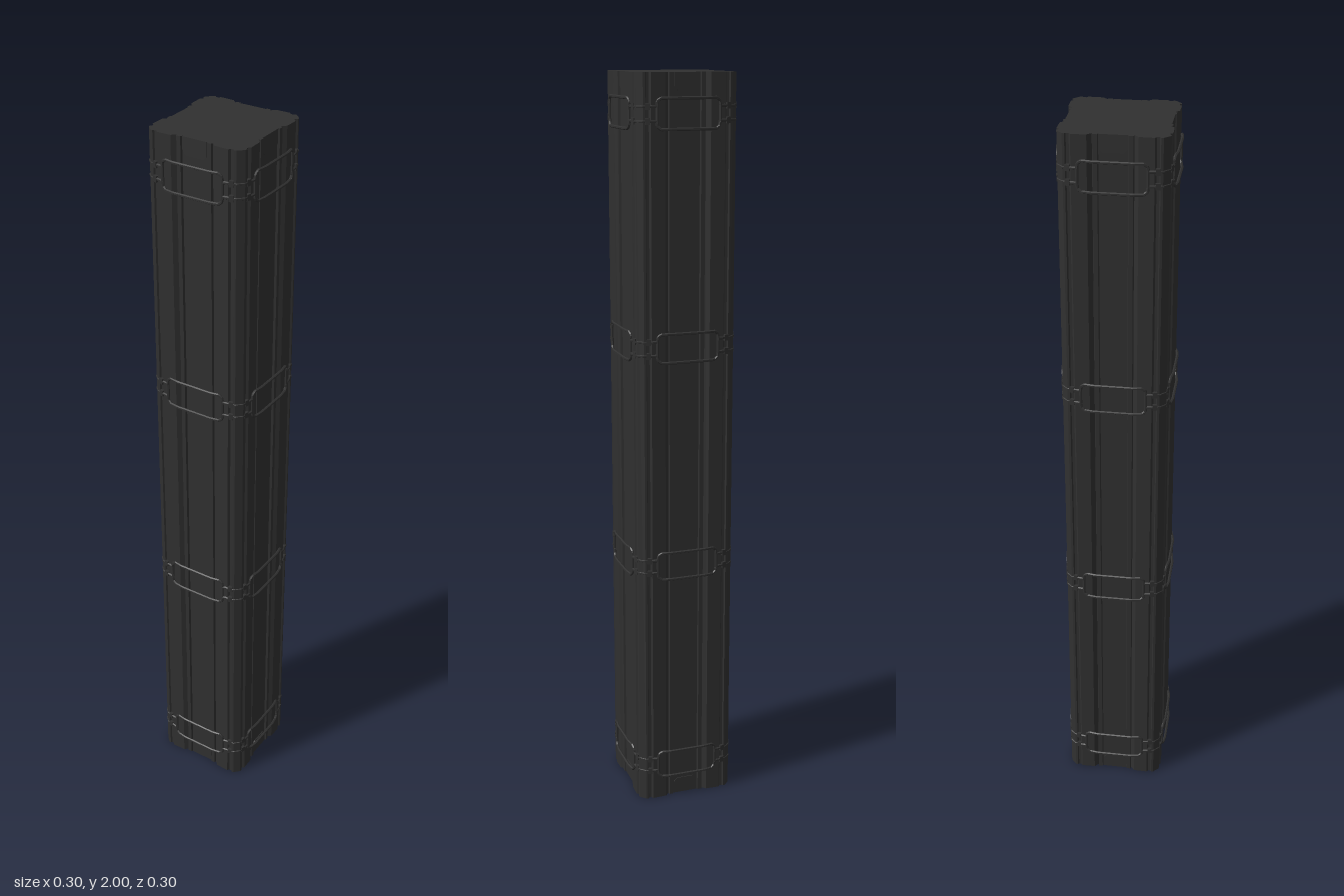
import * as THREE from 'three';

const mat = new THREE.MeshStandardMaterial({ color: 0x303030, flatShading: true });

function add(parent, geometry, name) {
  const mesh = new THREE.Mesh(geometry, mat);
  mesh.name = name;
  parent.add(mesh);
  return mesh;
}

// Repeats a half-face profile (across, out, extra) around all four sides
function fourSides(half) {
  const side = [...half.slice(1).reverse().map(([a, ...rest]) => [-a, ...rest]), ...half];
  const out = [];
  for (let i = 0; i < 4; i++) {
    const t = i * Math.PI / 2, c = Math.cos(t), s = Math.sin(t);
    for (const [a, o, ...rest] of side) out.push([a * c + o * s, -a * s + o * c, ...rest]);
  }
  return out;
}

// Ribbed pillar: recessed face, slim rib, raised corner post with a groove
function pillarGeometry() {
  const half = [
    [0, 0.125], [0.035, 0.125], [0.037, 0.131], [0.048, 0.131], [0.05, 0.125],
    [0.061, 0.136], [0.099, 0.137], [0.103, 0.131], [0.110, 0.131], [0.113, 0.135], [0.119, 0.134],
  ];
  const shape = new THREE.Shape(fourSides(half).map(([x, z]) => new THREE.Vector2(x, z)));
  const g = new THREE.ExtrudeGeometry(shape, { depth: 2, bevelEnabled: false });
  return g.rotateX(-Math.PI / 2);
}

// Closed rod with straight runs between its points (zero curve tension)
function rodGeometry(points, radius) {
  const path = new THREE.CatmullRomCurve3(points, true, 'catmullrom', 0);
  path.arcLengthDivisions = 1000;
  return new THREE.TubeGeometry(path, 320, radius, 6, true);
}

export function createModel() {
  const model = new THREE.Group();
  add(model, pillarGeometry(), 'pillar');

  // Shallow tapered tabs at both ends of every face
  const tab = new THREE.Shape([[-0.034, 0], [0.034, 0], [0.034, 0.035], [0.024, 0.045], [-0.024, 0.045], [-0.034, 0.035]]
    .map(p => new THREE.Vector2(...p)));
  const tabGeometry = new THREE.ExtrudeGeometry(tab, { depth: 0.004, bevelEnabled: false }).translate(0, 0, 0.1235);

  // Rod route: bowed away from the face, stepping inward in height at the corners
  const route = fourSides([
    [0, 0.145, 0.038], [0.05, 0.145, 0.038], [0.074, 0.141, 0.038], [0.083, 0.139, 0.031],
    [0.084, 0.139, 0.018], [0.102, 0.136, 0.018], [0.119, 0.132, 0.018],
  ]);
  const rods = [1, -1].map(s =>
    rodGeometry(route.map(([x, z, y]) => new THREE.Vector3(x, s * y, z)), 0.004));
  const uprightGeometry = new THREE.CylinderGeometry(0.004, 0.004, 0.05, 6);
  const clipGeometry = new THREE.BoxGeometry(0.012, 0.016, 0.009);

  for (const y of [0.105, 0.702, 1.305, 1.9]) {
    const band = new THREE.Group();
    band.name = 'band';
    band.position.y = y;
    model.add(band);
    rods.forEach((g, i) => add(band, g, i ? 'lowerRod' : 'upperRod'));
    for (let i = 0; i < 4; i++) {
      const side = new THREE.Group();
      side.name = 'bandSide';
      side.rotation.y = i * Math.PI / 2;
      band.add(side);
      for (const s of [-1, 1]) {
        // Upright closing the loop and clips holding the corner rods
        add(side, uprightGeometry, 'loopUpright').position.set(s * 0.084, 0, 0.139);
        for (const v of [-1, 1]) {
          const clip = add(side, clipGeometry, 'rodClip');
          clip.position.set(s * 0.107, v * 0.018, 0.134);
          clip.rotation.y = s * 0.25;
        }
      }
    }
  }

  for (let i = 0; i < 4; i++) {
    const face = new THREE.Group();
    face.name = 'faceTabs';
    face.rotation.y = i * Math.PI / 2;
    add(face, tabGeometry, 'lowerTab');
    const top = add(face, tabGeometry, 'upperTab');
    top.position.set(0, 2, 0);
    top.rotation.z = Math.PI;
    model.add(face);
  }
  return model;
}
